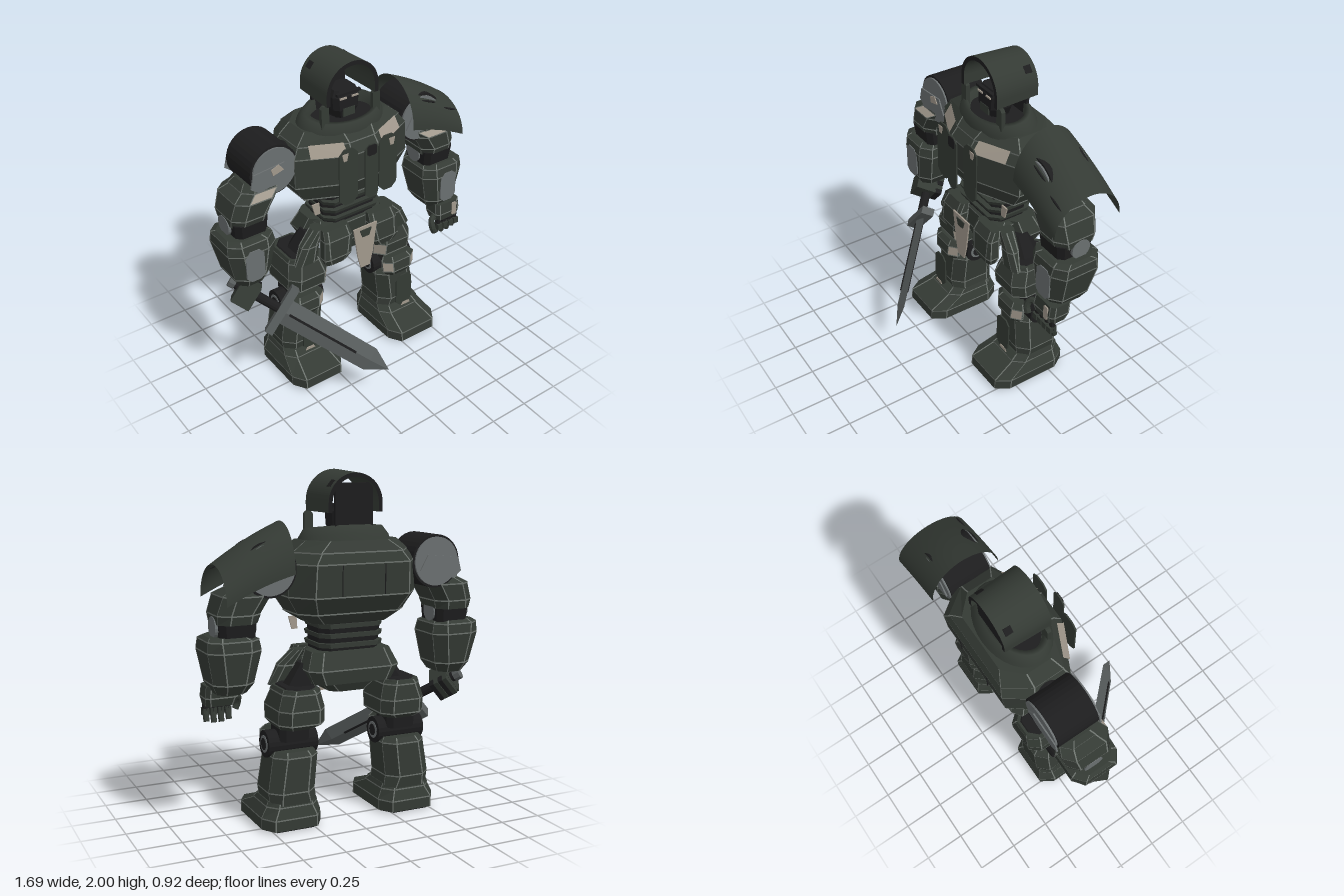
import * as THREE from 'three';

const std = (name, color) => Object.assign(new THREE.MeshStandardMaterial({ color, flatShading: true }), { name });
const green = std('armour green', 0x343a34);
const trim = std('edge trim', 0x6c726d);
const beige = std('bone panel', 0xa1988c);
const grey = std('grey panel', 0x6a6f70);
const dark = std('joint black', 0x1d1d1e);
const steel = std('blade steel', 0x565b5b);
const shell = std('shell green', 0x343a34);
shell.side = THREE.DoubleSide;
shell.flatShading = false;
const MATS = [green, trim, beige, grey, dark];

// Armour block lofted upward through chamfered rectangles, with thin trim along its creases.
// Section: [y, x0, x1, z0, z1, chamferX, chamferZ, {edge: material index for the band above}, [front chamfer]]
function armour(name, sections, base = 0, edge = 1) {
  const t = 0.008, rings = [];
  sections.forEach((s, k) => {
    const inner = k > 0 && k < sections.length - 1;
    for (const d of inner ? [-0.004, 0.004] : [0]) {
      const [y, x0, x1, z0, z1, cx, cz, paint = {}, front = [cx, cz]] = s, pts = [];
      for (const [X, Z, a, b, flip] of [[x1, z0, -1, 1, 0], [x0, z0, 1, 1, 1], [x0, z1, 1, -1, 0], [x1, z1, -1, -1, 1]]) {
        const [u, v] = b > 0 ? [cx, cz] : front;
        const corner = [[X, Z + b * (v + t)], [X, Z + b * v], [X + a * u, Z], [X + a * (u + t), Z]];
        (flip ? corner.reverse() : corner).forEach(p => pts.push([p[0], y + d, p[1]]));
      }
      rings.push({ pts, paint: d >= 0 ? paint : {}, crease: d < 0 });
    }
  });
  const buckets = MATS.map(() => []);
  rings.slice(1).forEach((up, k) => {
    const lo = rings[k];
    for (let i = 0; i < 16; i++) {
      const j = (i + 1) % 16, thin = lo.crease || i % 4 === 0 || i % 4 === 2;
      const m = lo.paint[i] ?? (thin ? edge : base);
      buckets[m].push(...lo.pts[i], ...lo.pts[j], ...up.pts[j], ...lo.pts[i], ...up.pts[j], ...up.pts[i]);
    }
  });
  // End caps
  for (const [ring, top] of [[rings[0].pts, false], [rings.at(-1).pts, true]]) {
    for (let i = 1; i < 15; i++) {
      const [a, b] = top ? [i, i + 1] : [i + 1, i];
      buckets[base].push(...ring[0], ...ring[a], ...ring[b]);
    }
  }
  const g = new THREE.BufferGeometry();
  let start = 0;
  buckets.forEach((b, m) => { if (b.length) g.addGroup(start, b.length / 3, m); start += b.length / 3; });
  g.setAttribute('position', new THREE.Float32BufferAttribute(buckets.flat(), 3));
  g.computeVertexNormals();
  return part(name, g, MATS);
}
function part(name, geo, mat, x = 0, y = 0, z = 0) {
  const m = new THREE.Mesh(geo, mat);
  m.name = name;
  m.position.set(x, y, z);
  return m;
}
const box = (name, mat, w, h, d, x, y, z) => part(name, new THREE.BoxGeometry(w, h, d), mat, x, y, z);
function plate(name, mat, pts, z, s = 1, depth = 0.009) {
  const shape = new THREE.Shape(pts.map(p => new THREE.Vector2(s * p[0], p[1])));
  return part(name, new THREE.ExtrudeGeometry(shape, { depth, bevelEnabled: false }), mat, 0, 0, z);
}
const cut = (x0, x1, y0, y1, c) => [[x0 + c, y0], [x1 - c, y0], [x1, y0 + c], [x1, y1 - c], [x1 - c, y1], [x0 + c, y1], [x0, y1 - c], [x0, y0 + c]];
function rod(name, mat, r, len, axis, x, y, z, n = 20) {
  const g = new THREE.CylinderGeometry(r, r, len, n);
  if (axis === 'x') g.rotateZ(Math.PI / 2);
  if (axis === 'z') g.rotateX(Math.PI / 2);
  return part(name, g, mat, x, y, z);
}
// Flat painted face on a slope; corners run counter-clockwise on the +x side
function face(name, mat, corners, s) {
  const [a, b, c, d] = corners.map(([x, y, z]) => [s * x, y, z]);
  const g = new THREE.BufferGeometry();
  g.setAttribute('position', new THREE.Float32BufferAttribute((s > 0 ? [a, b, c, a, c, d] : [a, c, b, a, d, c]).flat(), 3));
  g.computeVertexNormals();
  return part(name, g, mat);
}

function buildLeg(s, block) {
  const leg = new THREE.Group();
  leg.name = s > 0 ? 'leftLeg' : 'rightLeg';
  leg.add(
    block('sole', [[0, .21, .53, -.35, .1, .05, .07], [.012, .2, .54, -.36, .12, .05, .07]], 4, 4),
    block('foot', [[.012, .19, .55, -.37, .13, .05, .08], [.075, .19, .55, -.37, .125, .05, .08],
      [.14, .21, .52, -.35, -.02, .05, .06], [.17, .22, .51, -.34, -.06, .05, .05]]),
    block('shin', [[.15, .22, .5, -.35, -.07, .05, .05], [.22, .23, .51, -.36, -.06, .06, .06],
      [.42, .21, .48, -.355, -.065, .06, .06], [.45, .23, .46, -.33, -.09, .05, .05]]),
    plate('shinPlate', green, cut(.3, .42, .18, .42, .03), -.025, s),
    plate('ankleMark', beige, [[.34, .175], [.41, .175], [.4, .195], [.35, .195]], -.014, s, .004),
    rod('kneeJoint', dark, .078, .3, 'x', s * .345, .48, -.2),
    rod('kneeRing', grey, .05, .306, 'x', s * .345, .48, -.2),
    rod('kneeHub', dark, .034, .312, 'x', s * .345, .48, -.2),
    block('kneePad', [[.42, .26, .44, -.13, -.05, .04, .03], [.46, .235, .47, -.13, -.03, .05, .04, { 9: 2, 13: 2 }],
      [.53, .23, .475, -.13, -.035, .05, .04], [.56, .25, .45, -.13, -.06, .04, .03]]),
    block('lowerThigh', [[.5, .25, .43, -.3, -.11, .03, .03], [.6, .25, .43, -.3, -.11, .03, .03]], 4, 4),
    block('thigh', [[.575, .22, .43, -.34, -.09, .05, .05], [.61, .18, .455, -.385, -.05, .05, .06, { [s < 0 ? 13 : 9]: 2 }],
      [.69, .18, .455, -.39, -.04, .05, .06], [.78, .2, .43, -.38, -.07, .05, .06], [.805, .21, .42, -.37, -.08, .05, .05]]),
    block('thighCap', [[.8, .22, .41, -.36, -.09, .05, .05], [.812, .23, .4, -.35, -.1, .05, .05]], 4, 4),
    block('hipJoint', [[.8, .2, .37, -.29, -.12, .04, .04], [.93, .14, .28, -.27, -.13, .04, .04]], 4, 4),
    block('frontSkirt', [[.77, .11, .25, -.04, .015, .03, .01], [.82, .08, .27, -.05, .03, .03, .01],
      [.94, .07, .26, -.06, .02, .02, .01], [1, .075, .25, -.07, -.01, .02, .01]]),
    block('sideSkirt', [[.79, .27, .42, -.11, -.05, .03, .02], [.9, .25, .37, -.13, -.05, .03, .02], [.99, .21, .28, -.15, -.06, .02, .02]]),
  );
  return leg;
}

function buildArm(s, block) {
  const arm = new THREE.Group();
  arm.name = s > 0 ? 'leftArm' : 'rightArm';
  arm.add(
    rod('shoulderAxle', dark, .09, .3, 'x', s * .38, 1.46, -.23),
    rod('shoulderDisc', grey, .14, .276, 'z', s * .51, 1.48, -.23, 32),
    rod('shoulderRim', dark, .153, .255, 'z', s * .51, 1.48, -.23, 32),
    plate('shoulderMark', beige, [[.46, 1.48], [.53, 1.46], [.54, 1.5], [.49, 1.52]], -.083, s, .005),
    block('upperArm', [[1.19, .56, .785, -.34, -.08, .05, .05], [1.24, .545, .79, -.35, -.065, .06, .05],
      [1.34, .49, .76, -.36, -.06, .06, .05, { 11: 2 }], [1.38, .45, .7, -.34, -.09, .05, .05], [1.42, .47, .67, -.32, -.11, .05, .05]]),
    block('elbow', [[1.1, .57, .77, -.31, -.09, .03, .03], [1.21, .565, .78, -.32, -.075, .03, .03]], 4, 4),
    rod('elbowHub', grey, .06, .235, 'x', s * .675, 1.17, -.21),
    block('forearm', [[.8, .61, .78, -.28, -.07, .04, .04], [.86, .575, .81, -.32, -.04, .06, .05],
      [1.04, .54, .845, -.345, -.03, .07, .05], [1.1, .55, .84, -.34, -.04, .06, .05], [1.12, .58, .82, -.31, -.07, .05, .05]]),
    plate('forearmPanel', grey, cut(.645, .765, .855, 1.06, .03), -.037, s),
  );
  for (const z of [-.093, -.376]) arm.add(plate('shoulderFlap', grey, [[.4, 1.43], [.62, 1.38], [.67, 1.42], [.65, 1.5], [.45, 1.52]], z, s));
  return arm;
}

function buildLeftHand() {
  const hand = new THREE.Group();
  hand.name = 'leftHand';
  hand.add(armour('palm', [[.71, .635, .805, -.14, -.03, .02, .02], [.76, .625, .815, -.16, -.02, .02, .02], [.83, .63, .81, -.17, -.03, .02, .02]]),
    plate('palmMark', beige, cut(.74, .775, .73, .82, .006), -.025, 1, .008));
  for (let i = 0; i < 4; i++) {
    const x = .655 + i * .044, low = i === 0 || i === 3 ? .01 : 0;
    hand.add(rod('fingerBase', dark, .018, .07, 'y', x, .69, -.05, 8), box('fingerKnuckle', green, .035, .04, .045, x, .665, -.045));
    const tip = rod('fingerTip', green, .018, .06, 'y', x, .63 + low, -.06, 8);
    tip.rotation.x = .3;
    hand.add(tip);
  }
  const curve = new THREE.CatmullRomCurve3([[.64, .74, -.07], [.59, .73, -.04], [.585, .69, -.02], [.6, .655, -.02]].map(p => new THREE.Vector3(...p)));
  hand.add(part('thumb', new THREE.TubeGeometry(curve, 8, .02, 8), green));
  return hand;
}

// Right fist and sword, built along +y from the guard and then aimed down and forward
function buildSword() {
  const sword = new THREE.Group();
  sword.name = 'swordAndFist';
  const blade = new THREE.CylinderGeometry(.076, .08, .6, 4).translate(0, .31, 0);
  const tip = new THREE.ConeGeometry(.076, .135, 4).translate(0, .677, 0);
  for (const g of [blade, tip]) g.scale(1, 1, .3);
  sword.add(part('blade', blade, steel), part('bladeTip', tip, steel));
  for (const z of [-1, 1]) sword.add(box('bladeGroove', dark, .014, .46, .008, 0, .28, z * .0225));
  sword.add(box('guard', steel, .31, .05, .08, 0, 0, 0), rod('grip', dark, .03, .32, 'y', 0, -.16, 0, 12),
    rod('pommel', steel, .036, .04, 'y', 0, -.335, 0, 8), box('fist', green, .15, .12, .13, -.01, -.235, -.02));
  for (let i = 0; i < 4; i++) sword.add(box('gripFinger', i % 2 ? dark : green, .13, .027, .05, 0, -.28 + i * .03, .06));
  sword.add(box('knuckleGuard', grey, .012, .08, .08, -.088, -.235, 0));
  const d = new THREE.Vector3(.45, -.38, .46).normalize();
  const w = new THREE.Vector3(.38, .45, 0).normalize();
  sword.quaternion.setFromRotationMatrix(new THREE.Matrix4().makeBasis(w, d, w.clone().cross(d)));
  sword.position.set(-.57, .59, 0);
  return sword;
}

// Large sloped shell over the left shoulder
function buildPauldron() {
  const g = new THREE.PlaneGeometry(1, 1, 8, 28), p = g.attributes.position;
  const at = (u, a) => new THREE.Vector3(.405 + .385 * u, 1.46 - .15 * u + (.27 - .07 * u) * Math.sin(a) + .015 * Math.sin(u * Math.PI),
    -.24 + (.215 + .005 * u) * Math.cos(a));
  for (let i = 0; i < p.count; i++) p.setXYZ(i, ...at(p.getX(i) + .5, Math.PI * (.5 - p.getY(i))).toArray());
  g.computeVertexNormals();
  const group = new THREE.Group();
  group.name = 'leftPauldron';
  group.add(part('pauldronShell', g, shell),
    armour('pauldronMount', [[1.38, .5, .68, -.34, -.08, .05, .05], [1.47, .52, .665, -.33, -.1, .05, .05], [1.52, .54, .64, -.3, -.14, .04, .04]]));
  for (const [u, a] of [[.4, .75], [.8, .7]]) {
    const slit = part('pauldronSlit', new THREE.SphereGeometry(.06, 12, 6).scale(1, .12, .1), dark);
    slit.position.copy(at(u, a));
    slit.rotation.z = -.4;
    group.add(slit);
  }
  return group;
}

// Open hood that narrows and drops slightly toward the back
function buildHood(R, r) {
  const arch = new THREE.Shape();
  arch.moveTo(R, 1.77).lineTo(R, 1.825).absarc(0, 1.825, R, 0, Math.PI).lineTo(-R, 1.77);
  arch.lineTo(-r, 1.77).lineTo(-r, 1.825).absarc(0, 1.825, r, Math.PI, 0, true).lineTo(r, 1.77);
  const g = new THREE.ExtrudeGeometry(arch, { depth: .28, bevelEnabled: false, curveSegments: 24 }), p = g.attributes.position;
  for (let i = 0; i < p.count; i++) {
    const back = 1 - p.getZ(i) / .28;
    p.setX(i, p.getX(i) * (1 - .06 * back));
    p.setY(i, 1.77 + (p.getY(i) - 1.77) * (1 - .07 * back));
  }
  g.computeVertexNormals();
  return part('hood', g, [dark, green], 0, 0, -.35);
}

function buildHead() {
  const head = new THREE.Group();
  head.name = 'head';
  head.add(buildHood(.175, .15),
    box('hoodBackPanel', dark, .23, .31, .02, 0, 1.775, -.32), rod('neck', dark, .06, .12, 'y', 0, 1.62, -.21, 12),
    armour('skull', [[1.64, -.06, .06, -.25, -.13, .02, .02], [1.7, -.085, .085, -.26, -.11, .025, .03], [1.77, -.09, .09, -.26, -.11, .025, .03], [1.81, -.07, .07, -.25, -.13, .02, .02]], 4, 4),
    box('mouthGuard', green, .08, .05, .01, 0, 1.68, -.112), box('brow', dark, .16, .015, .02, 0, 1.795, -.115));
  for (const s of [1, -1]) {
    head.add(box('eye', beige, .045, .01, .008, s * .04, 1.77, -.107),
      plate('hoodPost', green, cut(.15, .2, 1.6, 1.77, .015), -.11, s, .025));
    const vent = box('hoodVent', dark, .045, .009, .045, s * .126, 1.925, -.3);
    vent.rotation.z = -s * .87;
    head.add(vent);
  }
  return head;
}

function buildBody() {
  const body = new THREE.Group();
  body.name = 'body';
  body.add(
    armour('chest', [[1.16, -.24, .24, -.34, -.09, .05, .06, {}, [.1, .05]], [1.22, -.33, .33, -.39, .01, .08, .09, {}, [.22, .1]],
      [1.32, -.39, .39, -.45, .05, .1, .13, {}, [.28, .13]], [1.5, -.385, .385, -.46, .055, .1, .14, {}, [.29, .14]],
      [1.56, -.35, .35, -.44, .015, .1, .14, {}, [.26, .12]], [1.62, -.28, .28, -.4, -.04, .1, .1, {}, [.18, .1]]]),
    armour('waist', [[.96, -.18, .18, -.31, -.06, .05, .05], [1.2, -.2, .2, -.33, -.08, .05, .05]], 4, 4),
    armour('pelvis', [[.76, -.12, .12, -.3, -.08, .04, .04], [.84, -.2, .2, -.34, -.06, .05, .05], [.98, -.22, .22, -.34, -.05, .05, .05], [1, -.2, .2, -.32, -.07, .05, .05]]),
    armour('rearSkirt', [[.82, -.24, .24, -.37, -.25, .05, .04], [.9, -.28, .28, -.38, -.17, .06, .04], [1, -.24, .24, -.34, -.15, .05, .04]]),
    plate('groinGuard', beige, [[-.033, .69], [.033, .69], [.055, .78], [.072, .9], [.085, .985], [-.085, .985], [-.072, .9], [-.055, .78]], .042),
    plate('groinInset', green, [[-.025, .915], [.025, .915], [.042, .965], [-.042, .965]], .051, 1, .005),
    plate('centreChestPanel', green, cut(-.045, .045, 1.22, 1.57, .03), .1),
    plate('chestNotch', dark, cut(-.03, .03, 1.5, 1.565, .008), .109, 1, .004));
  for (let i = 0; i < 3; i++) body.add(armour('waistRib', [[1.02 + i * .055, -.195, .195, -.34, -.05, .05, .05], [1.045 + i * .055, -.2, .2, -.34, -.04, .05, .05]], 0, 0));
  for (const s of [1, -1]) body.add(
    plate('sideChestPanel', green, cut(.075, .2, 1.21, 1.57, .035), .07, s),
    plate('sidePanelMark', beige, [[.15, 1.5], [.172, 1.5], [.182, 1.545], [.14, 1.545]], .079, s, .004),
    face('collarbonePlate', beige, [[.12, 1.505, .053], [.31, 1.505, -.039], [.3, 1.572, -.078], [.12, 1.572, .006]], s),
    plate('waistMark', beige, [[.235, 1.1], [.27, 1.1], [.29, 1.175], [.24, 1.175]], -.08, s),
    box('backSeam', dark, .005, .17, .006, s * .13, 1.41, -.457));
  // Collar leans forward so the face stays clear
  const ring = [[.29, -.04], [.27, .03], [.235, .08], [.205, .08], [.185, 0]].map(p => new THREE.Vector2(...p));
  const collar = part('collar', new THREE.LatheGeometry(ring, 32).scale(1, 1, .68), shell, 0, 1.6, -.2);
  collar.rotation.x = .15;
  body.add(collar, part('collarFloor', new THREE.CylinderGeometry(.195, .195, .02, 32).scale(1, 1, .68), dark, 0, 1.62, -.2));
  return body;
}

export function createModel() {
  const model = new THREE.Group();
  model.name = 'armouredRobot';
  model.add(buildBody(), buildHead(), buildPauldron(), buildLeftHand(), buildSword());
  for (const s of [1, -1]) {
    const block = (name, secs, ...rest) => armour(name, secs.map(([y, a, b, ...r]) => (s > 0 ? [y, a, b, ...r] : [y, -b, -a, ...r])), ...rest);
    model.add(buildLeg(s, block), buildArm(s, block));
  }
  return model;
}
